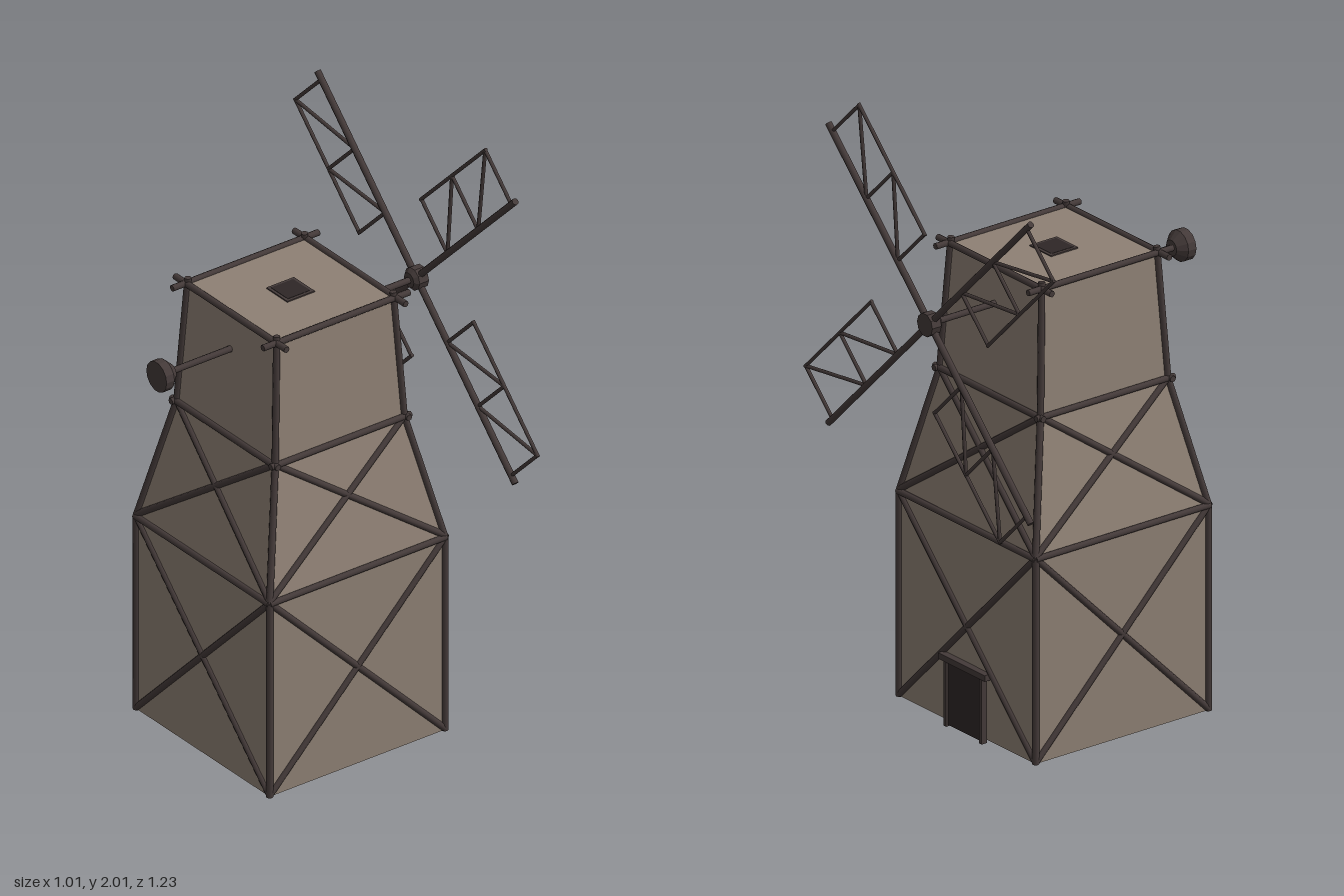
import * as THREE from 'three';

const CX = 0.004;   // tower axis
const HUB_Y = 1.393, SAIL_X = 0.484;

export function createModel() {
  const root = new THREE.Group();
  root.name = 'windmill';

  const mat = (name, color) => {
    const m = new THREE.MeshStandardMaterial({ color });
    m.name = name;
    return m;
  };
  const plaster = mat('plaster', 0x8e8074);
  const timber = mat('timber', 0x443a39);
  const dark = mat('dark opening', 0x2e2727);

  const add = (parent, name, geo, material, x = 0, y = 0, z = 0) => {
    const m = new THREE.Mesh(geo, material);
    m.name = name;
    m.position.set(x, y, z);
    parent.add(m);
    return m;
  };
  // Round pole between two points
  const pole = (parent, name, a, b, r) => {
    const A = new THREE.Vector3(...a), B = new THREE.Vector3(...b);
    const d = B.clone().sub(A);
    const m = add(parent, name, new THREE.CylinderGeometry(r, r, d.length(), 8), timber);
    m.position.copy(A).add(B).multiplyScalar(0.5);
    m.quaternion.setFromUnitVectors(new THREE.Vector3(0, 1, 0), d.normalize());
    return m;
  };

  const tower = new THREE.Group();
  tower.name = 'tower';
  tower.position.x = CX;
  root.add(tower);

  // Square tapering walls with floor and roof: [half width, height]
  const levels = [[0.334, 0.012], [0.334, 0.69], [0.246, 1.105], [0.222, 1.517]];
  const profile = [[0, 0.012], ...levels.map(([w, y]) => [w * Math.SQRT2, y]), [0, 1.517]]
    .map(([x, y]) => new THREE.Vector2(x, y));
  const walls = new THREE.LatheGeometry(profile, 4, Math.PI / 4).toNonIndexed();
  walls.computeVertexNormals();
  add(tower, 'walls', walls, plaster);

  // Timber frame, one side at a time
  const beams = [[0.337, 0.69, 0.337], [0.25, 1.105, 0.267], [0.227, 1.517, 0.279]];
  for (let i = 0; i < 4; i++) {
    const side = new THREE.Group();
    side.name = 'timberSide' + (i + 1);
    side.rotation.y = i * Math.PI / 2;
    tower.add(side);
    for (let k = 0; k < 3; k++) {
      const [w0, y0] = levels[k], [w1, y1] = levels[k + 1];
      const top = k === 2 ? y1 + 0.02 : y1;
      pole(side, 'cornerPost', [w0, y0, w0], [w1, top, w1], 0.011);
      if (k < 2) {
        for (const s of [-1, 1]) {
          pole(side, 'crossBrace', [-s * w0, y0 + 0.005, w0], [s * w1, y1, w1], 0.0105);
        }
      }
    }
    for (const [z, y, half] of beams) {
      pole(side, 'ringBeam', [-half, y, z], [half, y, z], 0.0105);
    }
  }

  // Roof hatch
  add(tower, 'roofHatch', new THREE.BoxGeometry(0.105, 0.006, 0.105), timber, 0, 1.518, 0);
  add(tower, 'hatchOpening', new THREE.BoxGeometry(0.085, 0.004, 0.085), dark, 0, 1.52, 0);

  // Doorway on the sail side
  const door = new THREE.Group();
  door.name = 'doorway';
  root.add(door);
  add(door, 'doorOpening', new THREE.BoxGeometry(0.009, 0.215, 0.17), dark, 0.345, 0.112, 0);
  for (const s of [-1, 1]) {
    add(door, 'doorPost', new THREE.BoxGeometry(0.02, 0.215, 0.014), timber, 0.347, 0.1075, s * 0.087);
  }
  add(door, 'doorLintel', new THREE.BoxGeometry(0.028, 0.02, 0.228), timber, 0.347, 0.225, 0);

  // Axle with counterweight and hub
  pole(root, 'axle', [-0.46, HUB_Y, 0], [0.47, HUB_Y, 0], 0.0105);
  const turned = (name, pts, sides) => {
    const g = new THREE.LatheGeometry(pts.map(([r, x]) => new THREE.Vector2(r, x)), sides).toNonIndexed();
    g.computeVertexNormals();
    g.rotateZ(-Math.PI / 2);
    add(root, name, g, timber, 0, HUB_Y, 0);
  };
  turned('counterweight', [[0, -0.507], [0.051, -0.507], [0.051, -0.477], [0.026, -0.45], [0, -0.45]], 14);
  turned('hub', [[0, 0.455], [0.025, 0.455], [0.038, 0.468], [0.038, 0.503], [0, 0.503]], 10);

  // Four lattice sails; each arm points along +y before it is turned
  const sails = new THREE.Group();
  sails.name = 'sails';
  sails.position.set(SAIL_X, HUB_Y, 0);
  root.add(sails);
  const inner = 0.22, mid = 0.437, outer = 0.672, rail = -0.185;
  for (let i = 0; i < 4; i++) {
    const sail = new THREE.Group();
    sail.name = 'sail' + (i + 1);
    sail.rotation.x = Math.PI / 4 + i * Math.PI / 2;
    sails.add(sail);
    pole(sail, 'sailArm', [0, 0, 0], [0, 0.7, 0], 0.011);
    pole(sail, 'sailRail', [0, inner - 0.005, rail], [0, outer + 0.005, rail], 0.006);
    for (const u of [inner, mid, outer]) pole(sail, 'sailRung', [0, u, 0], [0, u, rail], 0.006);
    for (const [a, b] of [[inner, mid], [mid, outer]]) {
      pole(sail, 'sailBrace', [0, a, 0], [0, b, rail], 0.006);
    }
  }
  return root;
}
